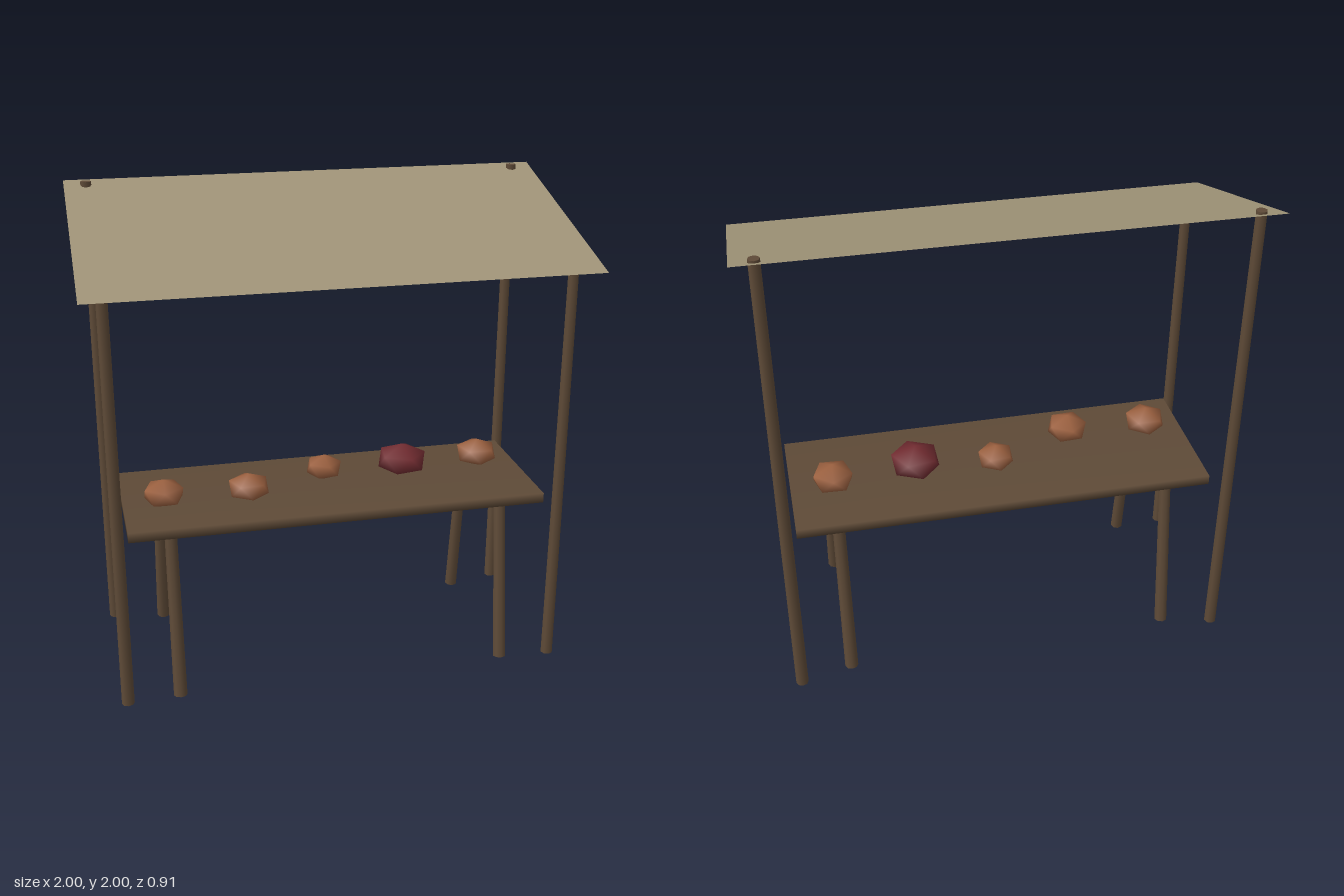
import * as THREE from 'three';
import { mergeVertices } from 'three/addons/utils/BufferGeometryUtils.js';

const wood = new THREE.MeshStandardMaterial({ name: 'dark wood', color: 0x5e4a37 });
const cloth = new THREE.MeshStandardMaterial({ name: 'canvas cloth', color: 0xa09478, side: THREE.DoubleSide });
const orange = new THREE.MeshStandardMaterial({ name: 'orange fruit', color: 0x9c6140 });
const red = new THREE.MeshStandardMaterial({ name: 'red fruit', color: 0x722c31 });

// Weld corners so that shading runs smoothly over the whole shape
function weld(geometry) {
  geometry.deleteAttribute('normal');
  geometry.deleteAttribute('uv');
  const welded = mergeVertices(geometry, 1e-4);
  welded.computeVertexNormals();
  return welded;
}

// Slightly tapered round pole between two points
function pole(name, bottom, top, rBottom, rTop) {
  const a = new THREE.Vector3(...bottom), b = new THREE.Vector3(...top);
  const axis = b.clone().sub(a);
  const mesh = new THREE.Mesh(new THREE.CylinderGeometry(rTop, rBottom, axis.length(), 8), wood);
  mesh.name = name;
  mesh.position.copy(a).add(b).multiplyScalar(0.5);
  mesh.quaternion.setFromUnitVectors(new THREE.Vector3(0, 1, 0), axis.normalize());
  return mesh;
}

// Squat, faceted fruit resting on the table, one corner pointing up
function fruit(name, x, z, radius, height, turn, material) {
  const geometry = new THREE.IcosahedronGeometry(1, 0);
  geometry.rotateZ(Math.atan2(2, 1 + Math.sqrt(5)));
  geometry.rotateY(turn);
  geometry.scale(radius, height / 2, radius);
  const mesh = new THREE.Mesh(weld(geometry), material);
  mesh.name = name;
  mesh.position.set(x, 0.743 + height / 2, z);
  return mesh;
}

export function createModel() {
  const model = new THREE.Group();
  model.name = 'marketStall';

  // Table top
  const table = new THREE.Mesh(weld(new THREE.BoxGeometry(1.736, 0.042, 0.61)), wood);
  table.name = 'tableTop';
  table.position.set(0, 0.723, -0.018);
  model.add(table);

  // Splayed table legs and upright canopy posts
  for (const side of [1, -1]) {
    const s = side > 0 ? 'left' : 'right';
    model.add(
      pole(s + 'FrontLeg', [0.695 * side, 0.004, 0.323], [0.695 * side, 0.715, 0.223], 0.028, 0.025),
      pole(s + 'BackLeg', [0.695 * side, 0.004, -0.361], [0.695 * side, 0.715, -0.261], 0.028, 0.025),
      pole(s + 'FrontPost', [0.911 * side, 0, 0.33], [0.911 * side, 1.74, 0.33], 0.026, 0.022),
      pole(s + 'BackPost', [0.911 * side, 0, -0.41], [0.911 * side, 2, -0.41], 0.026, 0.022)
    );
  }

  // Sloping cloth canopy, a single sheet
  const rise = 0.27, depth = 0.914;
  const canopy = new THREE.Mesh(new THREE.PlaneGeometry(2, Math.hypot(rise, depth)), cloth);
  canopy.name = 'canopy';
  canopy.rotation.x = -Math.PI / 2 + Math.atan2(rise, depth);
  canopy.position.y = 1.864;
  model.add(canopy);

  // Fruit on the table
  model.add(
    fruit('fruit1', -0.7, 0.06, 0.092, 0.12, 0.3, orange),
    fruit('fruit2', -0.35, 0.075, 0.092, 0.12, 1.0, orange),
    fruit('fruit3', 0, -0.07, 0.082, 0.112, 1.7, orange),
    fruit('redFruit', 0.34, -0.045, 0.112, 0.143, 0.5, red),
    fruit('fruit5', 0.69, -0.075, 0.094, 0.122, 0.9, orange)
  );
  return model;
}
